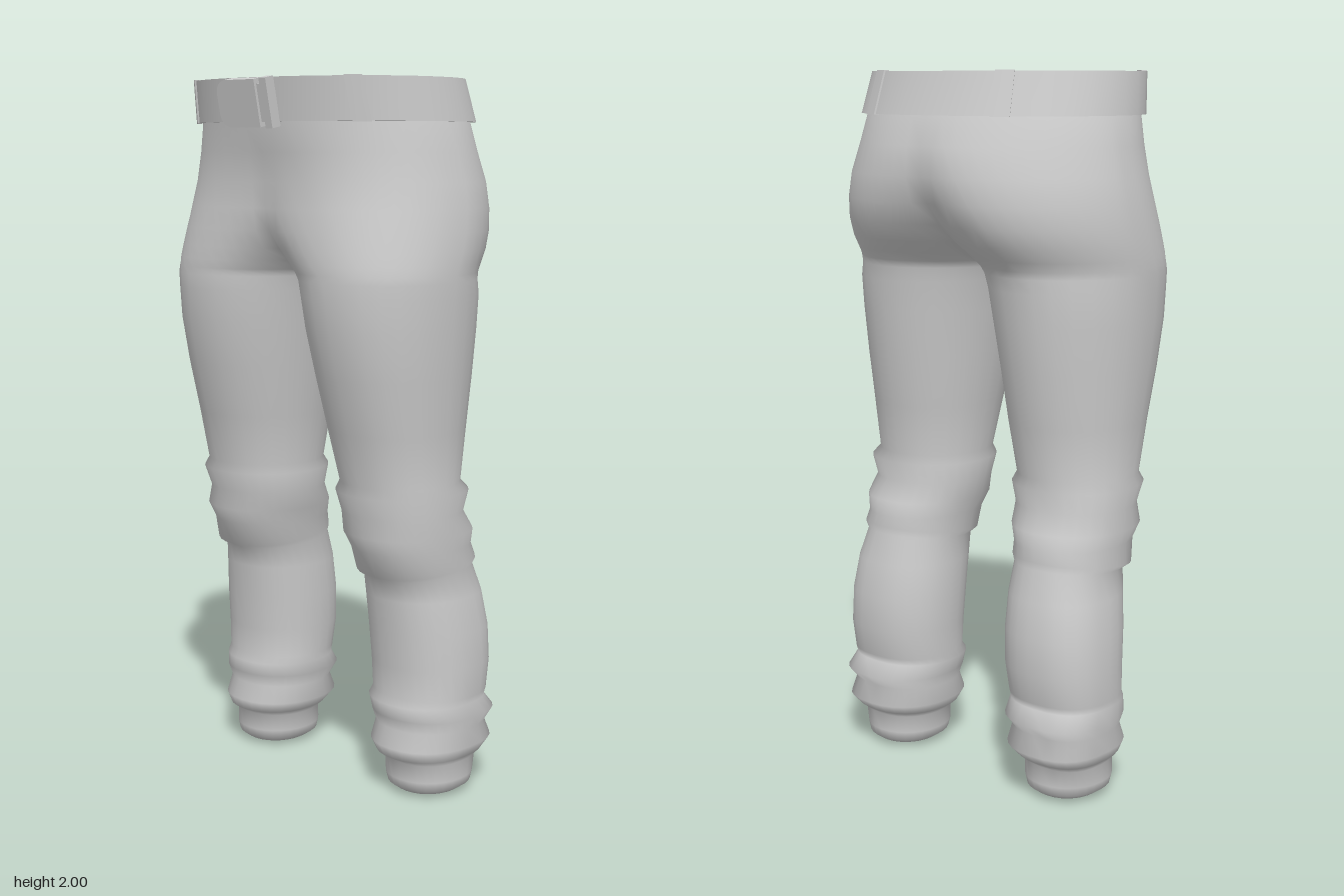
import * as THREE from 'three';
import { mergeGeometries, mergeVertices, toCreasedNormals } from 'three/addons/utils/BufferGeometryUtils.js';

const material = new THREE.MeshStandardMaterial({ color: 0xcccccc, side: THREE.DoubleSide });

// Skin a list of rows, each a list of [x, y, z]
function loft(rows) {
  const n = rows[0].length, index = [];
  for (let i = 0; i < rows.length - 1; i++) {
    for (let j = 0; j < n - 1; j++) {
      const a = i * n + j, b = a + 1, c = a + n, d = c + 1;
      index.push(a, b, c, b, d, c);
    }
  }
  const g = new THREE.BufferGeometry();
  g.setAttribute('position', new THREE.Float32BufferAttribute(rows.flat(2), 3));
  g.setIndex(index);
  return g;
}

function addMesh(group, name, geometry) {
  const mesh = new THREE.Mesh(geometry, material);
  mesh.name = name;
  group.add(mesh);
  return mesh;
}

// Sections of one half: y, inner x, outer x, back z, front z, tilt.
// A negative inner x means the section is cut open at the centre line.
const waist = [
  [1.985, -0.368, 0.368, -0.27, 0.3],
  [1.88, -0.41, 0.41, -0.315, 0.295],
];
const hips = [
  [1.8, -0.31, 0.427, -0.345, 0.275],
  [1.72, -0.25, 0.447, -0.355, 0.268],
  [1.65, -0.18, 0.459, -0.348, 0.272],
  [1.59, -0.12, 0.466, -0.328, 0.277],
  [1.54, -0.07, 0.469, -0.298, 0.28],
  [1.505, -0.035, 0.47, -0.268, 0.282],
  [1.48, -0.013, 0.47, -0.25, 0.282],
  [1.46, 0, 0.47, -0.243, 0.282],
];
const thigh = [
  [1.42, 0.014, 0.469, -0.236, 0.28],
  [1.33, 0.03, 0.465, -0.227, 0.272],
  [1.2, 0.052, 0.455, -0.21, 0.245],
  [1.05, 0.075, 0.441, -0.188, 0.207],
  [0.905, 0.1, 0.43, -0.165, 0.172],
];
const knee = [
  [0.88, 0.09, 0.446, -0.182, 0.185],
  [0.82, 0.1, 0.432, -0.167, 0.163],
  [0.765, 0.106, 0.446, -0.2, 0.168],
  [0.72, 0.125, 0.43, -0.205, 0.148],
  [0.668, 0.125, 0.442, -0.21, 0.125, -0.02],
  [0.652, 0.137, 0.425, -0.208, 0.1, -0.015],
];
const calf = [
  [0.58, 0.134, 0.438, -0.232, 0.09],
  [0.48, 0.133, 0.452, -0.248, 0.078],
  [0.38, 0.136, 0.456, -0.25, 0.068],
  [0.295, 0.142, 0.455, -0.235, 0.064],
];
const cuff = [
  [0.275, 0.14, 0.45, -0.228, 0.08],
  [0.235, 0.143, 0.461, -0.262, 0.075],
  [0.2, 0.156, 0.447, -0.232, 0.062],
  [0.15, 0.148, 0.456, -0.256, 0.084],
  [0.118, 0.17, 0.44, -0.226, 0.072],
  [0.1, 0.19, 0.425, -0.203, 0.044],
];
const ankle = [
  [0.05, 0.19, 0.428, -0.207, 0.046],
  [0.024, 0.197, 0.422, -0.202, 0.04],
  [0.008, 0.22, 0.4, -0.18, 0.018],
  [0, 0.31, 0.31, -0.08, -0.08],
];

// Roundness of the front outer, back outer and inner corners: below 1 is squarer
const parts = [
  [waist, 0.92, 0.95, 1],
  [hips, 0.88, 1.08, 1],
  [thigh, 0.9, 1, 0.97],
  [knee, 0.92, 0.9, 0.95],
  [calf, 0.92, 0.8, 0.92],
  [cuff, 0.92, 0.74, 0.92],
  [ankle, 0.95, 0.95, 0.95],
];

const bend = (v, p) => Math.sign(v) * Math.abs(v) ** p;

function sectionRow([y, inner, outer, back, front, tilt = 0], frontOuter, backOuter, innerSide) {
  const N = 28, cx = (inner + outer) / 2, rx = (outer - inner) / 2;
  const cz = (front + back) / 2, rz = (front - back) / 2;
  const end = inner < 0 ? Math.acos(-cx / rx) : Math.PI;
  // The front stays full toward the centre line above the crotch
  const full = 0.55 * Math.min(1, Math.max(0, -inner) / 0.13);
  return Array.from({ length: N + 1 }, (_, j) => {
    const a = (2 * j / N - 1) * end;
    const c = Math.cos(a), s = Math.sin(a);
    const outerSide = s > 0 ? frontOuter : backOuter;
    const p = c < 0 ? innerSide : outerSide;
    const depth = c < 0 && s > 0 ? p - full : p;
    const cut = inner <= 0 && (j === 0 || j === N);
    return [cut ? 0 : cx + rx * bend(c, p), y + tilt * s, cz + rz * bend(s, depth)];
  });
}

function trousersGeometry() {
  const rows = parts.flatMap(([sections, ...corners]) => sections.map(s => sectionRow(s, ...corners)));
  const mirrored = rows.map(r => r.map(([x, y, z]) => [-x, y, z]).reverse());
  const g = mergeVertices(mergeGeometries([loft(rows), loft(mirrored)]), 1e-4);
  g.computeVertexNormals();
  return g;
}

// Point on the belt's outer face, pushed out by off
function beltPoint(a, y, off) {
  const s = (y - 1.88) / 0.12;
  const front = 0.31 + 0.02 * s, back = -0.33 + 0.035 * s;
  return [
    (0.422 - 0.018 * s + off) * bend(Math.cos(a), 0.92), y,
    (front + back) / 2 + ((front - back) / 2 + off) * bend(Math.sin(a), 0.92),
  ];
}

// Solid band following the belt between two angles
function band(a0, a1, y0, y1, outer, inner, steps) {
  const rows = [];
  for (let i = 0; i <= steps; i++) {
    const a = a0 + (a1 - a0) * i / steps;
    rows.push([[y0, outer], [y1, outer], [y1, inner], [y0, inner], [y0, outer]]
      .map(([y, off]) => beltPoint(a, y, off)));
  }
  if (a1 - a0 < 6.28) {
    const cap = a => Array(5).fill(beltPoint(a, (y0 + y1) / 2, (outer + inner) / 2));
    rows.unshift(cap(a0));
    rows.push(cap(a1));
  }
  return toCreasedNormals(loft(rows), 0.6);
}

export function createModel() {
  const model = new THREE.Group();
  model.name = 'trousers';
  addMesh(model, 'trouserBody', trousersGeometry());

  // Belt, its tail tucked inside, and flat loops
  addMesh(model, 'belt', band(0, Math.PI * 2, 1.88, 1.994, 0, -0.025, 36));
  addMesh(model, 'beltTail', band(0.55, 1.08, 1.9, 1.99, -0.02, -0.034, 6));
  for (const a of [0.76, Math.PI - 0.76, -1.03, Math.PI + 1.03]) {
    addMesh(model, 'beltLoop', band(a - 0.07, a + 0.07, 1.878, 1.997, 0.004, -0.01, 2));
  }

  // Buckle plate, rounded on its free end, and the keeper beside it
  const buckle = new THREE.Group();
  buckle.name = 'buckle';
  const s = new THREE.Shape();
  s.moveTo(0.055, -0.063);
  s.lineTo(0.055, 0.063);
  s.lineTo(-0.06, 0.063);
  s.quadraticCurveTo(-0.093, 0.055, -0.093, 0.025);
  s.lineTo(-0.093, -0.025);
  s.quadraticCurveTo(-0.093, -0.055, -0.06, -0.063);
  s.closePath();
  const plate = new THREE.ExtrudeGeometry(s, { depth: 0.03, bevelEnabled: false, curveSegments: 4 });
  addMesh(buckle, 'bucklePlate', plate).position.z = -0.015;
  addMesh(buckle, 'buckleKeeper', new THREE.BoxGeometry(0.025, 0.132, 0.03)).position.x = 0.087;
  addMesh(buckle, 'buckleHinge', new THREE.BoxGeometry(0.04, 0.1, 0.015)).position.x = 0.06;
  buckle.position.set(0, 1.929, 0.327);
  buckle.rotation.x = 0.2;
  model.add(buckle);
  return model;
}
